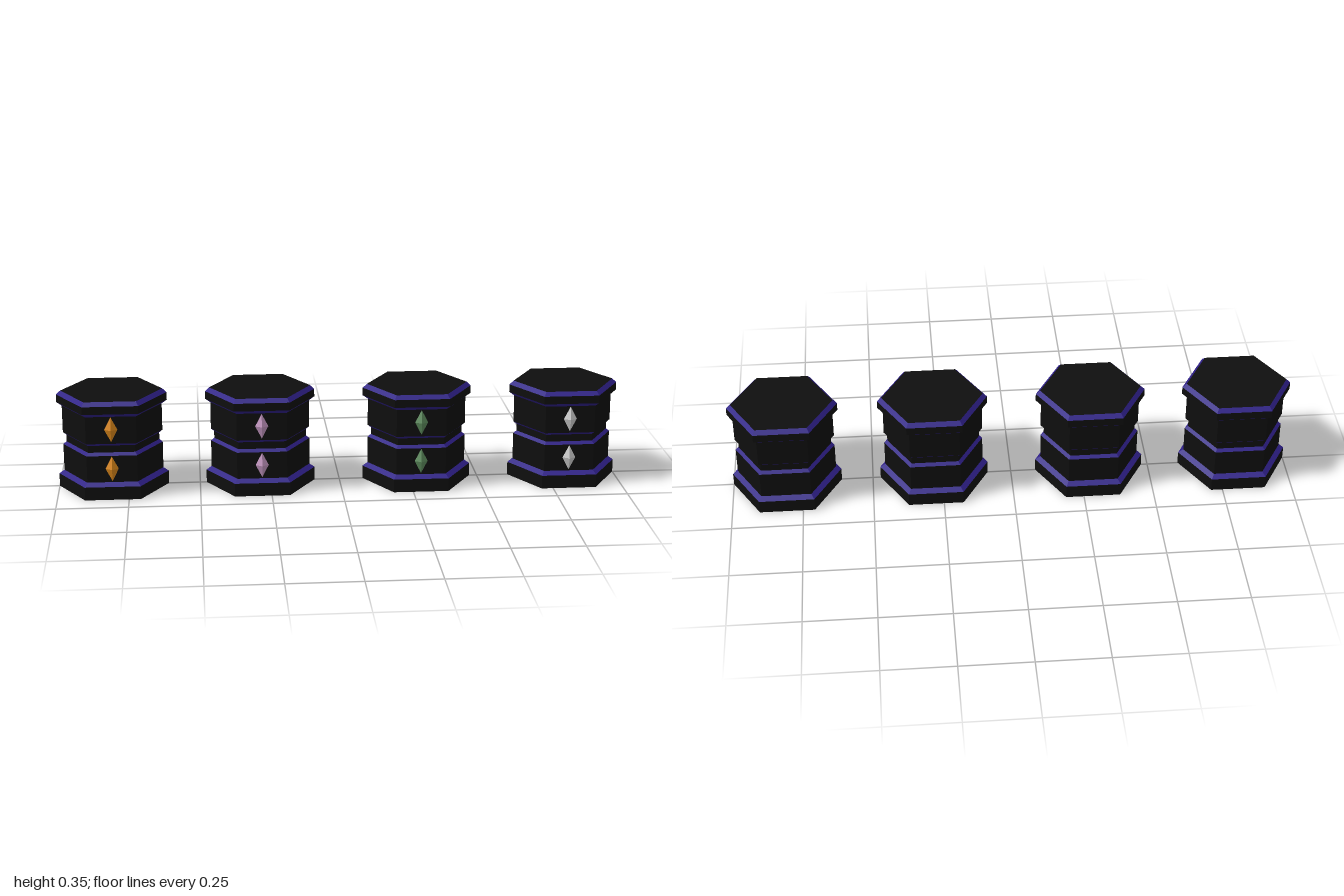
import * as THREE from 'three';

const mat = (color) => new THREE.MeshStandardMaterial({ color, flatShading: true });

// Hexagonal profile: [height, distance from axis to flat face]
const PROFILE = [
  [0, 0.168], [0.047, 0.168], [0.06, 0.152], [0.156, 0.152], [0.166, 0.142],
  [0.191, 0.142], [0.2, 0.152], [0.298, 0.152], [0.311, 0.168], [0.339, 0.168], [0.353, 0.155],
];
const SECTIONS = ['base', 'baseTrim', 'lowerBody', 'lowerGrooveTrim', 'groove',
  'upperGrooveTrim', 'upperBody', 'capUnderTrim', 'capRim', 'capTopTrim'];
const toCorner = 1 / Math.cos(Math.PI / 6);

export function createModel() {
  const model = new THREE.Group();
  const black = mat(0x0e0e0e);
  const indigo = mat(0x2e1f87);

  const add = (parent, name, geometry, material) => {
    const mesh = new THREE.Mesh(geometry, material);
    mesh.name = name;
    parent.add(mesh);
    return mesh;
  };

  // Four-sided diamond stud, apex facing +z
  const gemGeometry = new THREE.ConeGeometry(1, 0.016, 4, 1, true);
  gemGeometry.translate(0, 0.008, 0).rotateX(Math.PI / 2).scale(0.023, 0.045, 1);

  const makePedestal = (x, gemColor) => {
    const pedestal = new THREE.Group();
    pedestal.name = 'pedestal';
    pedestal.position.x = x;

    // Stacked hexagonal rings; the sloped ones are coloured trim
    SECTIONS.forEach((name, i) => {
      const [y0, a0] = PROFILE[i];
      const [y1, a1] = PROFILE[i + 1];
      const ring = new THREE.CylinderGeometry(a1 * toCorner, a0 * toCorner, y1 - y0, 6, 1, true, Math.PI / 2);
      ring.translate(0, (y0 + y1) / 2, 0);
      add(pedestal, name, ring, i % 2 ? indigo : black);
    });

    // Flat lids
    const top = new THREE.CircleGeometry(0.155 * toCorner, 6).rotateX(-Math.PI / 2).translate(0, 0.353, 0);
    add(pedestal, 'topFace', top, black);
    const bottom = new THREE.CircleGeometry(0.168 * toCorner, 6).rotateX(Math.PI / 2);
    add(pedestal, 'bottomFace', bottom, black);

    // Two gems on the front face
    const gemMaterial = mat(gemColor);
    add(pedestal, 'lowerGem', gemGeometry, gemMaterial).position.set(0, 0.109, 0.152);
    add(pedestal, 'upperGem', gemGeometry, gemMaterial).position.set(0, 0.251, 0.152);
    model.add(pedestal);
  };

  makePedestal(-0.806, 0xd9861a);
  makePedestal(-0.283, 0xc093bd);
  makePedestal(0.278, 0x5c8a5c);
  makePedestal(0.806, 0xcccccc);
  return model;
}
